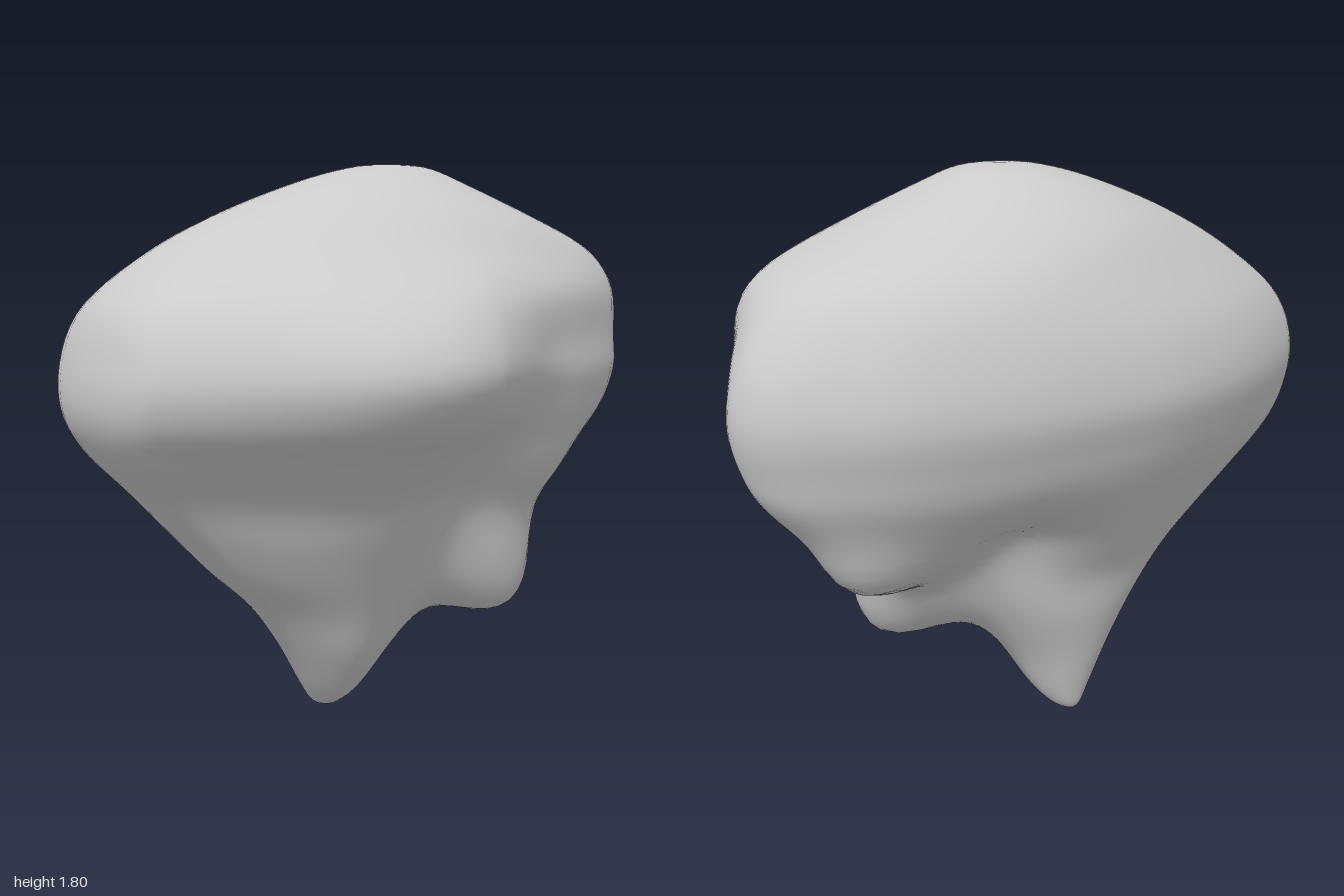
import * as THREE from 'three';
import { mergeVertices } from 'three/addons/utils/BufferGeometryUtils.js';

// Plan outline of the body at its widest, counter-clockwise seen from above.
const OUTLINE = [
  [-1, -0.1], [-0.96, 0.2], [-0.85, 0.34], [-0.6, 0.55], [-0.42, 0.66], [-0.25, 0.7], [-0.1, 0.68],
  [0.02, 0.62], [0.25, 0.48], [0.5, 0.37], [0.73, 0.24], [0.87, 0.04], [0.96, -0.09], [1, -0.2],
  [0.95, -0.32], [0.84, -0.42], [0.68, -0.53], [0.4, -0.63], [0.15, -0.68], [-0.1, -0.7],
  [-0.35, -0.67], [-0.53, -0.62], [-0.7, -0.55], [-0.86, -0.46], [-0.96, -0.34],
];

// Cross-sections from crown to root tip: height, min x, max x, min z, max z.
const SECTIONS = [
  [1.8, 0.1, 0.1, -0.15, -0.15], [1.79, -0.04, 0.22, -0.25, -0.03], [1.74, -0.23, 0.34, -0.37, 0.1],
  [1.64, -0.5, 0.57, -0.5, 0.27], [1.52, -0.74, 0.84, -0.59, 0.41], [1.37, -0.93, 0.96, -0.67, 0.61],
  [1.2, -0.995, 1, -0.705, 0.7], [1.06, -1, 0.975, -0.67, 0.64], [0.94, -0.94, 0.91, -0.62, 0.51],
  [0.8, -0.81, 0.74, -0.54, 0.38], [0.66, -0.69, 0.54, -0.46, 0.3], [0.54, -0.58, 0.38, -0.4, 0.23],
  [0.4, -0.43, 0.2, -0.37, 0.15], [0.25, -0.32, 0.07, -0.33, 0.07], [0.1, -0.23, -0.02, -0.29, -0.05],
  [0.03, -0.18, -0.08, -0.27, -0.14], [0, -0.14, -0.14, -0.24, -0.24],
];

// Lobes raised (or hollows sunk) around a direction from the centre.
const CENTRE = new THREE.Vector3(0, 1.1, -0.1);
const BUMPS = [
  { toward: [0.41, 0.37, 0.09], height: 0.23, width: 0.26 },   // front side root
  { toward: [0.42, 0.82, 0.27], height: 0.11, width: 0.38 },   // ridge above that root
  { toward: [0.68, 0.68, -0.28], height: 0.11, width: 0.21 },  // small side root
  { toward: [0.25, 0.65, -0.42], height: -0.09, width: 0.34 }, // hollow behind the roots
].map((b) => ({ ...b, dir: new THREE.Vector3(...b.toward).sub(CENTRE).normalize() }));

function addBumps(p) {
  const offset = p.clone().sub(CENTRE);
  const dir = offset.clone().normalize();
  let push = 0;
  for (const b of BUMPS) push += b.height * Math.exp(-((dir.angleTo(b.dir) / b.width) ** 2));
  return p.addScaledVector(dir, push);
}

// How far a section is rounded from the plan outline towards an ellipse
const roundness = (y) =>
  THREE.MathUtils.smoothstep(y, 1.2, 1.65) + 0.6 * (1 - THREE.MathUtils.smoothstep(y, 0.4, 0.9));

function bodyGeometry(rows, cols) {
  const spline = (pts, closed) => new THREE.CatmullRomCurve3(pts, closed, 'catmullrom', 0.5);
  const outline = spline(OUTLINE.map(([x, z]) => new THREE.Vector3(x, 0, z / 0.7)), true);
  const lows = spline(SECTIONS.map(([y, x0, , z0]) => new THREE.Vector3(x0, y, z0)), false);
  const highs = spline(SECTIONS.map(([y, , x1, , z1]) => new THREE.Vector3(x1, y, z1)), false);
  const positions = [];
  const index = [];

  // Fit the outline into each cross-section, then add the lobes
  for (let i = 0; i <= rows; i++) {
    const a = lows.getPoint(i / rows);
    const b = highs.getPoint(i / rows);
    for (let j = 0; j < cols; j++) {
      const o = outline.getPoint(j / cols);
      o.lerp(o.clone().normalize(), roundness(a.y));
      const p = new THREE.Vector3(
        (a.x + b.x) / 2 + (o.x * (b.x - a.x)) / 2,
        Math.max(0, a.y),
        (a.z + b.z) / 2 + (o.z * (b.z - a.z)) / 2,
      );
      positions.push(...addBumps(p).toArray());
    }
  }
  for (let i = 0; i < rows; i++) {
    for (let j = 0; j < cols; j++) {
      const k = (j + 1) % cols;
      const [p, q, r, s] = [i * cols + j, (i + 1) * cols + j, (i + 1) * cols + k, i * cols + k];
      if (i < rows - 1) index.push(p, q, r);
      else index.push(p, q, s);
      if (i > 0 && i < rows - 1) index.push(p, r, s);
    }
  }
  const geometry = new THREE.BufferGeometry();
  geometry.setAttribute('position', new THREE.Float32BufferAttribute(positions, 3));
  geometry.setIndex(index);
  const merged = mergeVertices(geometry, 1e-5);
  merged.computeVertexNormals();
  return merged;
}

export function createModel() {
  const group = new THREE.Group();
  group.name = 'rootedStone';
  const material = new THREE.MeshStandardMaterial({ color: 0xcccccc });
  const body = new THREE.Mesh(bodyGeometry(80, 100), material);
  body.name = 'stoneBody';
  group.add(body);
  return group;
}
